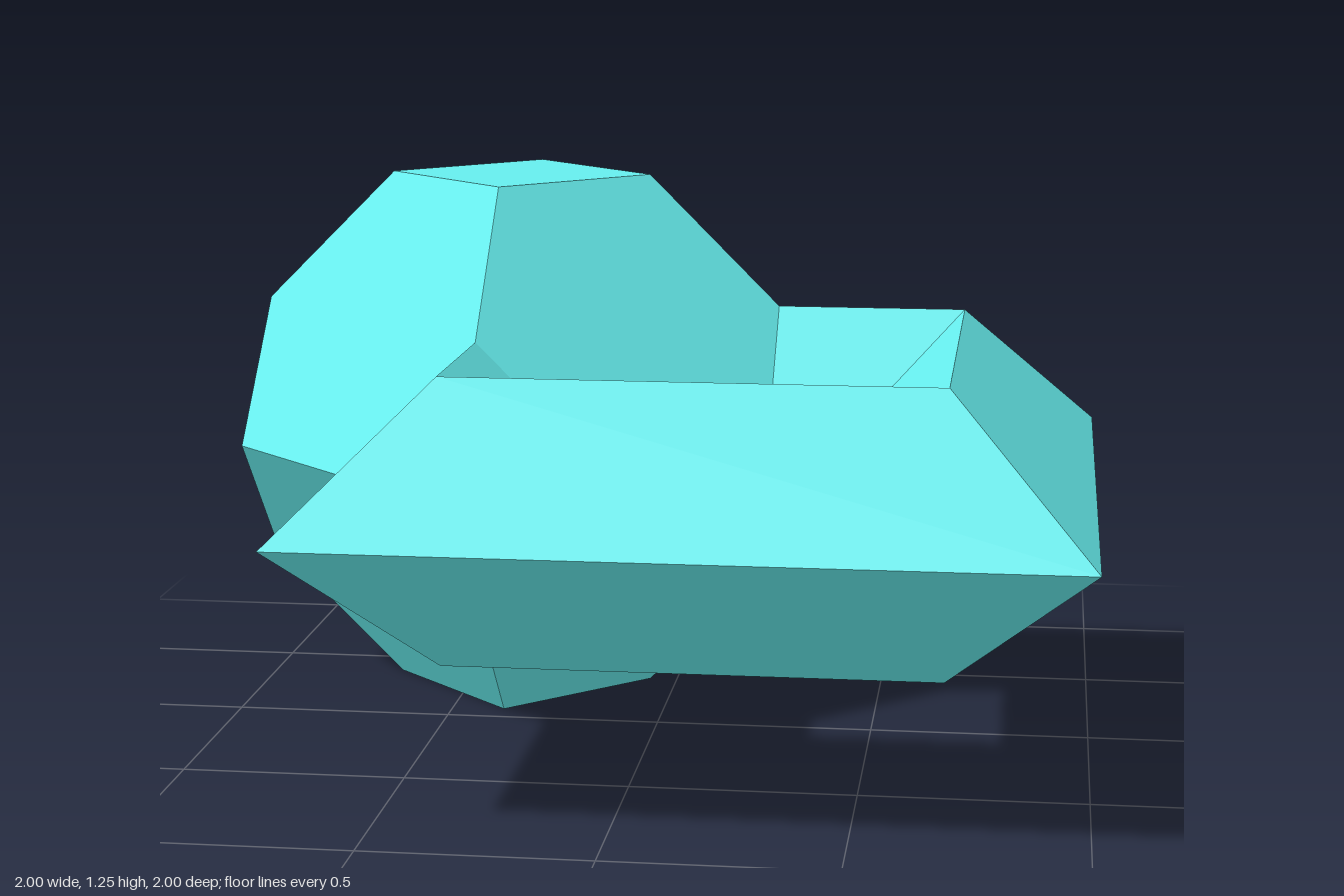
import * as THREE from 'three';
import { ConvexGeometry } from 'three/addons/geometries/ConvexGeometry.js';

const U = 0.3115;          // base unit: a quarter of the total height
const MID = 2 * U;         // height of the shared middle plane

export function createModel() {
  const group = new THREE.Group();
  group.name = 'polyhedronRing';
  const material = new THREE.MeshStandardMaterial({ color: 0x66eeee, flatShading: true });

  const add = (name, geometry, x, z) => {
    const mesh = new THREE.Mesh(geometry, material);
    mesh.name = name;
    mesh.position.set(x, MID, z);
    group.add(mesh);
  };

  // Truncated octahedron: every cyclic and swapped arrangement of (0, ±1, ±2)
  const corners = [];
  for (const a of [-U, U]) {
    for (const b of [-2 * U, 2 * U]) {
      corners.push(
        new THREE.Vector3(0, a, b), new THREE.Vector3(0, b, a),
        new THREE.Vector3(a, 0, b), new THREE.Vector3(b, 0, a),
        new THREE.Vector3(a, b, 0), new THREE.Vector3(b, a, 0)
      );
    }
  }
  add('truncatedOctahedron', new ConvexGeometry(corners), -1 + 2 * U, -1 + 2 * U);

  // Square ring with a diamond cross-section, mitred at its four corners
  const outer = (2 - U) / 2;               // half the ring's outer width
  const ridge = outer - U;
  const inner = outer - 2 * U;
  const profile = [[ridge, -U], [outer, 0], [ridge, U], [inner, 0], [ridge, -U]]
    .map(([r, y]) => new THREE.Vector2(r * Math.SQRT2, y));
  add('squareRing', new THREE.LatheGeometry(profile, 4, Math.PI / 4), 1 - outer, 1 - outer);

  return group;
}
